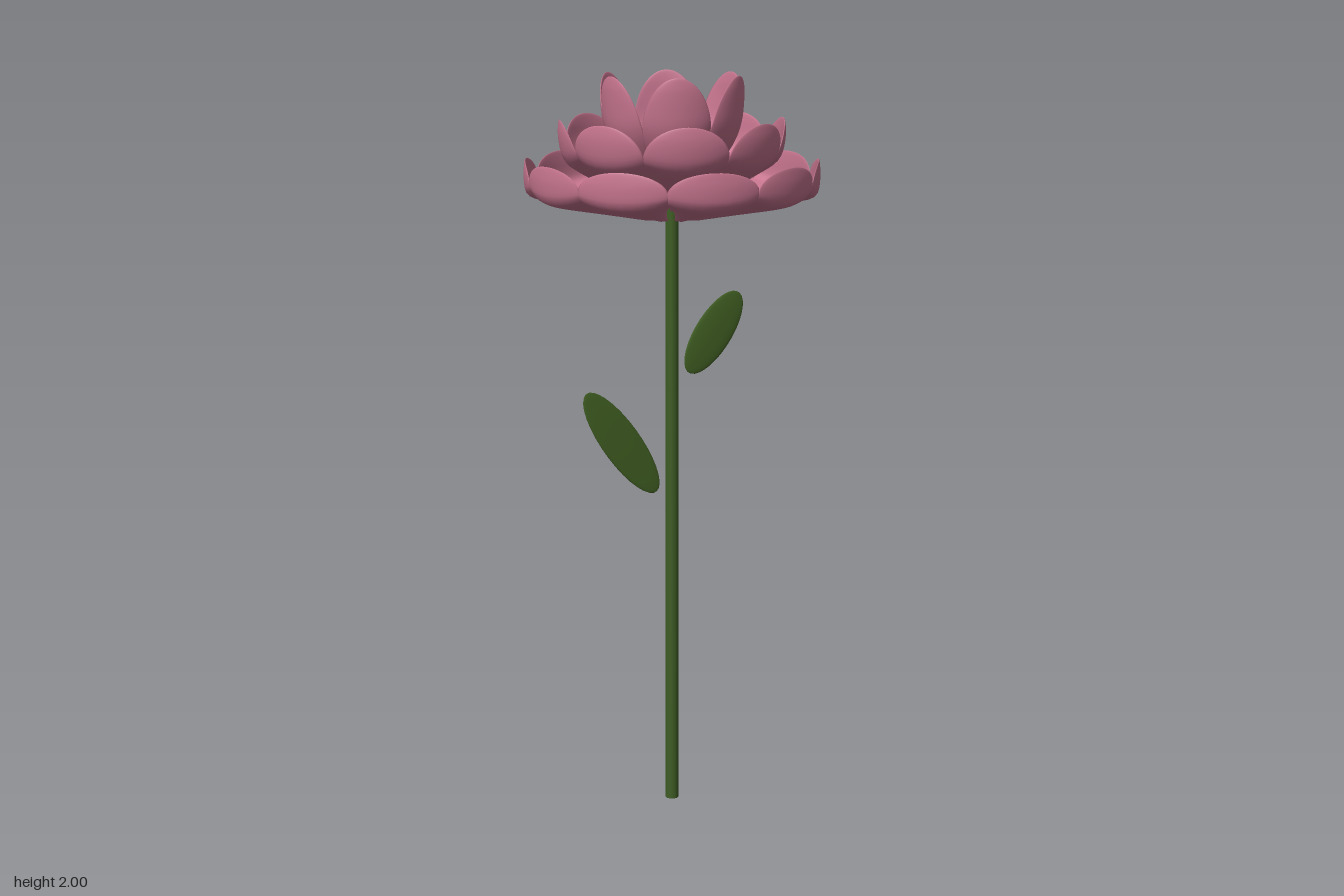
import * as THREE from 'three';

const material = (name, color) => {
  const m = new THREE.MeshStandardMaterial({ color });
  m.name = name;
  return m;
};

// Cupped petal: thin lens cross-sections swept along a radial profile of [radius, height] points.
// halfAngle is half the petal's sector, taper is where the rounded tip begins,
// lift raises the side edges, base is the share of the sector filled at the root.
function petalGeometry({ profile, halfAngle, taper, power, lift, base }) {
  const rows = 32, ring = 24, thickness = 0.005;
  const curve = new THREE.SplineCurve(profile.map(([r, y]) => new THREE.Vector2(r, y)));
  const positions = [], indices = [];
  for (let i = 0; i <= rows; i++) {
    const v = Math.sin((i / rows) * Math.PI / 2);
    const p = curve.getPointAt(v), t = curve.getTangentAt(v);
    const tip = Math.max(0, (v - taper) / (1 - taper));
    const spread = base + (1.03 - base) * Math.min(1, v / 0.42);
    const half = halfAngle * spread * Math.sqrt(Math.max(0, 1 - Math.pow(tip, power)));
    const thick = thickness * Math.min(1, v * 12, Math.sqrt((1 - v) * 12));
    const cup = lift * Math.sin(Math.PI * Math.min(1, v));
    for (let j = 0; j < ring; j++) {
      const phi = (j / ring) * Math.PI * 2;
      const u = Math.cos(phi), n = thick * Math.sin(phi);
      const r = p.x - t.y * n, y = p.y + t.x * n + cup * u * u;
      positions.push(r * Math.cos(half * u), y, r * Math.sin(half * u));
      if (i < rows) {
        const a = i * ring + j, b = i * ring + (j + 1) % ring;
        indices.push(a, a + ring, b, b, a + ring, b + ring);
      }
    }
  }
  const geometry = new THREE.BufferGeometry();
  geometry.setAttribute('position', new THREE.Float32BufferAttribute(positions, 3));
  geometry.setIndex(indices);
  geometry.computeVertexNormals();
  return geometry;
}

export function createModel() {
  const model = new THREE.Group();
  model.name = 'flower';
  const pink = material('petal pink', 0xc87690);
  const gold = material('centre gold', 0xd4960f);
  const stemGreen = material('stem green', 0x3f5d25);
  const leafGreen = material('leaf green', 0x405e22);

  const add = (name, geometry, mat, parent = model) => {
    const mesh = new THREE.Mesh(geometry, mat);
    mesh.name = name;
    parent.add(mesh);
    return mesh;
  };

  // Stem
  add('stem', new THREE.CylinderGeometry(0.018, 0.018, 1.66, 16), stemGreen).position.y = 0.83;

  // Leaves: flattened ellipsoids leaning outward and slightly back
  const leaves = [
    { name: 'leftLeaf', at: [0.15, 1.301, -0.018], size: [0.057, 0.138, 0.006], lean: -0.78 },
    { name: 'rightLeaf', at: [-0.158, 1.033, -0.006], size: [0.057, 0.173, 0.006], lean: 0.61 },
  ];
  for (const { name, at, size, lean } of leaves) {
    const leaf = add(name, new THREE.SphereGeometry(1, 24, 16), leafGreen);
    leaf.position.set(...at);
    leaf.scale.set(...size);
    leaf.rotation.set(-0.15, 0, lean);
  }

  // Golden centre
  add('flowerCentre', new THREE.SphereGeometry(0.082, 18, 14), gold).position.y = 1.83;

  // Three rings of petals: each a straight cone that turns up sharply at the rim
  const rings = [
    { name: 'outerPetal', count: 10, turn: 0, taper: 0.82, power: 2.3, lift: 0.025, base: 0.5,
      profile: [[0.045, 1.621], [0.2, 1.65], [0.34, 1.676], [0.375, 1.69], [0.384, 1.72], [0.385, 1.78]] },
    { name: 'middlePetal', count: 8, turn: THREE.MathUtils.degToRad(18.5), taper: 0.7, power: 2.1, lift: 0.02, base: 0.6,
      profile: [[0.035, 1.645], [0.14, 1.697], [0.24, 1.75], [0.278, 1.78], [0.292, 1.825], [0.295, 1.885]] },
    { name: 'innerPetal', count: 6, turn: 0, taper: 0.56, power: 1.65, lift: 0.015, base: 0.72,
      profile: [[0.03, 1.655], [0.09, 1.727], [0.147, 1.8], [0.176, 1.86], [0.186, 1.925], [0.19, 2.0]] },
  ];
  for (const ring of rings) {
    const group = new THREE.Group();
    group.name = ring.name + 'Ring';
    model.add(group);
    const geometry = petalGeometry({ ...ring, halfAngle: Math.PI / ring.count });
    for (let k = 0; k < ring.count; k++) {
      add(ring.name, geometry, pink, group).rotation.y = ring.turn + (k / ring.count) * Math.PI * 2;
    }
  }
  return model;
}
